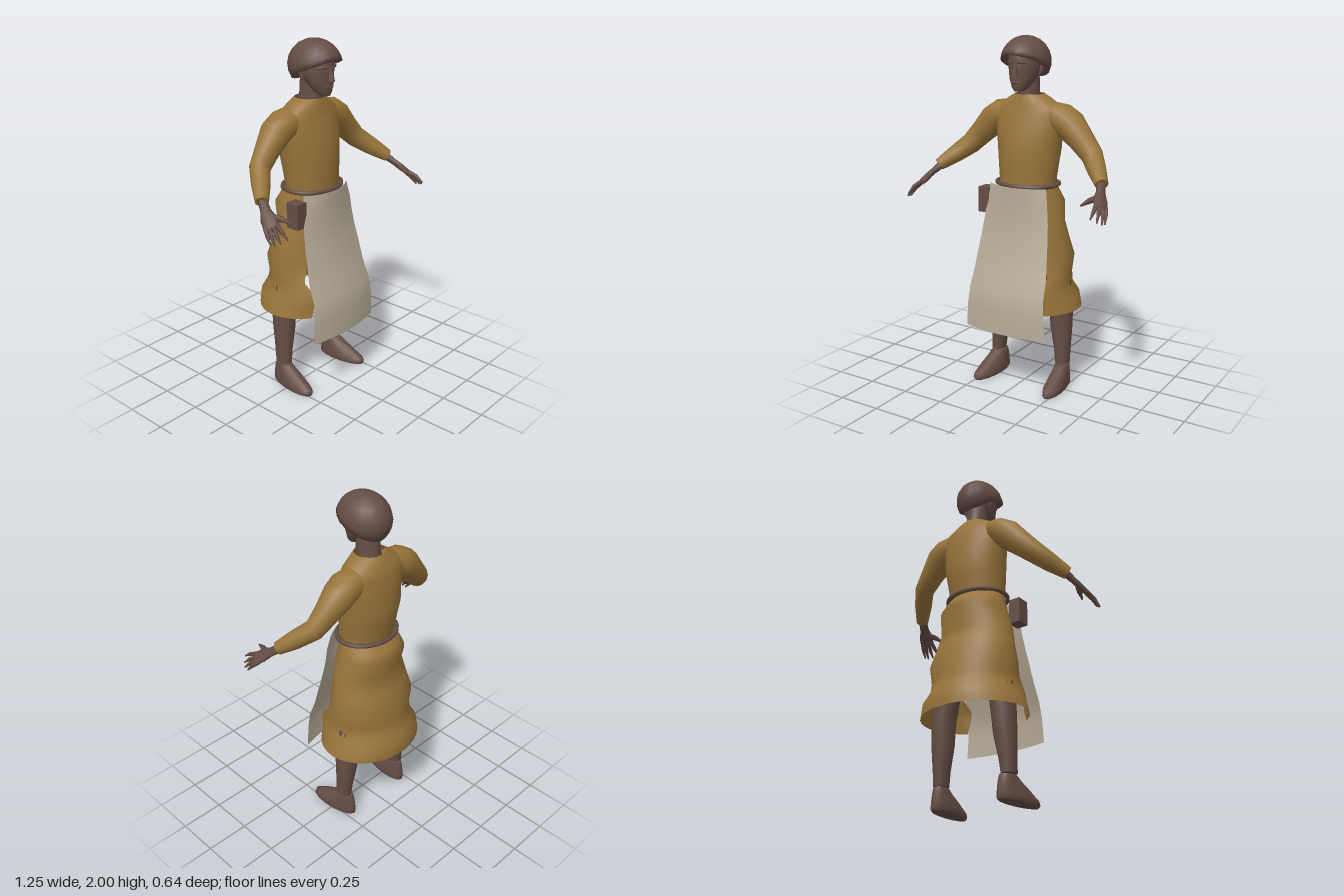
import * as THREE from 'three';

const V = (x, y, z) => new THREE.Vector3(x, y, z);

const mat = (name, color, side = THREE.FrontSide) => {
  const m = new THREE.MeshStandardMaterial({ color, side });
  m.name = name;
  return m;
};

// Skin a list of rings (arrays of points); closed rings wrap around, caps fan to the centre
function loft(rings, { closed = true, cap = false } = {}) {
  const n = rings[0].length, pos = [], idx = [];
  rings.forEach(r => r.forEach(p => pos.push(p.x, p.y, p.z)));
  for (let i = 0; i < rings.length - 1; i++)
    for (let j = 0; j < (closed ? n : n - 1); j++) {
      const k = (j + 1) % n, a = i * n + j, b = i * n + k;
      idx.push(a, b, b + n, a, b + n, a + n);
    }
  if (cap) for (const end of [0, rings.length - 1]) {
    const c = rings[end].reduce((s, p) => s.add(p), V(0, 0, 0)).divideScalar(n);
    const base = pos.length / 3;
    rings[end].forEach(p => pos.push(p.x, p.y, p.z));
    pos.push(c.x, c.y, c.z);
    for (let j = 0; j < n; j++) {
      const a = base + j, b = base + (j + 1) % n;
      end ? idx.push(a, b, base + n) : idx.push(b, a, base + n);
    }
  }
  const g = new THREE.BufferGeometry();
  g.setAttribute('position', new THREE.Float32BufferAttribute(pos, 3));
  g.setIndex(idx);
  g.computeVertexNormals();
  return g;
}

// Level ellipse given by half width and its front and back z; gap leaves it open at the front
function ring([y, rx, zf, zb], n = 20, gap = 0, cx = 0) {
  const c = (zf + zb) / 2, r = (zf - zb) / 2, out = [];
  for (let j = 0; j < n; j++) {
    const a = gap ? gap + (2 * Math.PI - 2 * gap) * j / (n - 1) : 2 * Math.PI * j / n;
    out.push(V(cx + rx * Math.sin(a), y, c + r * Math.cos(a)));
  }
  return out;
}

// Tapered limb through [x, y, z, radius along hint, radius across]; s mirrors it in x
function limb(pts, s = 1, n = 10, hint = V(0, 0, 1)) {
  const c = pts.map(p => V(p[0] * s, p[1], p[2]));
  const h = V(hint.x * s, hint.y, hint.z);
  return loft(pts.map((p, i) => {
    const d = c[Math.min(i + 1, c.length - 1)].clone().sub(c[Math.max(i - 1, 0)]).normalize();
    const v = h.clone().addScaledVector(d, -h.dot(d)).normalize();
    const u = d.clone().cross(v);
    return Array.from({ length: n }, (_, j) => {
      const a = 2 * Math.PI * j / n;
      return c[i].clone().addScaledVector(u, (p[4] ?? p[3]) * Math.sin(a)).addScaledVector(v, p[3] * Math.cos(a));
    });
  }), { cap: true });
}

export function createModel() {
  const model = new THREE.Group();
  const brown = mat('brown', 0x654d45);
  const cloth = mat('ochre cloth', 0x98743a, THREE.DoubleSide);
  const linen = mat('linen', 0xb7ab97, THREE.DoubleSide);
  const add = (name, geo, m, parent = model) => {
    const mesh = new THREE.Mesh(geo, m);
    mesh.name = name;
    parent.add(mesh);
    return mesh;
  };

  // Tunic: torso, and a skirt left open behind the apron
  add('tunicTorso', loft([
    [1.18, .165, .1, -.165], [1.3, .178, .1, -.185], [1.38, .188, .097, -.2],
    [1.48, .2, .085, -.19], [1.58, .215, .052, -.183], [1.62, .19, .045, -.168],
    [1.66, .13, .036, -.148], [1.685, .085, .03, -.13],
  ].map(r => ring(r, 24))), cloth);
  const skirt = [
    [.48, .31, .2, -.32, 40], [.55, .292, .2, -.322, 38], [.61, .262, .225, -.29, 44],
    [.68, .256, .16, -.262, 50], [.78, .262, .13, -.27, 42], [.88, .24, .12, -.232, 40],
    [.98, .222, .115, -.195, 30], [1.09, .198, .105, -.238, 20], [1.14, .182, .1, -.205, 15],
    [1.19, .166, .095, -.165, 12],
  ];
  add('tunicSkirt', loft(skirt.map(r => ring(r, 28, r[4] * Math.PI / 180)), { closed: false }), cloth);

  // Belt
  const loop = new THREE.CatmullRomCurve3(ring([1.19, .181, .115, -.182], 16), true);
  add('belt', new THREE.TubeGeometry(loop, 32, .013, 6, true), brown);

  // Apron: curved sheet, rows of [y, half width, centre z, sag of the edges]
  add('apron', loft([
    [.365, .258, .247, .036], [.5, .25, .245, .034], [.6, .242, .232, .034], [.7, .236, .192, .033],
    [.8, .226, .168, .032], [.9, .216, .145, .034], [1, .206, .13, .038], [1.1, .195, .128, .045],
    [1.185, .18, .128, .06],
  ].map(([y, w, z, sag]) => Array.from({ length: 9 }, (_, j) => {
    const t = j / 4 - 1;
    return V(t * w - .003, y, z - sag * t * t);
  })), { closed: false }), linen);

  // Pouch hanging from the belt on one side
  const pouch = add('pouch', new THREE.BoxGeometry(.07, .145, .08), brown);
  pouch.position.set(-.22, 1.085, .05);

  // Neck, face and features
  const head = new THREE.Group();
  head.name = 'head';
  model.add(head);
  add('neck', loft([[1.62, .075, .03, -.125], [1.69, .06, .03, -.11], [1.82, .06, .03, -.1]].map(r => ring(r, 14))), brown, head);
  add('face', loft([
    [1.705, .026, .088, .035], [1.725, .046, .096, -.01], [1.77, .07, .1, -.06],
    [1.82, .083, .1, -.1], [1.88, .086, .104, -.12], [1.94, .07, .08, -.11],
  ].map(r => ring(r, 18)), { cap: true }), brown, head);
  add('nose', limb([[0, 1.785, .104, .018, .02], [0, 1.8, .104, .016, .016], [0, 1.86, .097, .009, .01]], 1, 6), brown, head);
  add('lips', limb([[-.028, 1.752, .088, .006], [0, 1.754, .099, .007], [.028, 1.752, .088, .006]], 1, 6), brown, head);
  for (const s of [1, -1]) {
    add('brow', limb([[.015, 1.858, .101, .007], [.04, 1.862, .094, .008], [.066, 1.855, .068, .005]], s, 6), brown, head);
    add('ear', limb([[.084, 1.79, -.02, .012, .008], [.093, 1.82, -.025, .022, .012], [.09, 1.85, -.03, .016, .01]], s, 6), brown, head);
  }

  // Hair: rounded cap whose rim drops towards the nape
  const hair = [];
  for (let i = 0; i <= 8; i++) hair.push(Array.from({ length: 20 }, (_, j) => {
    const a = 2 * Math.PI * j / 20, rim = 1.835 + .065 * Math.cos(a);
    const low = Math.asin((rim - 1.86) / .14);
    const phi = low + (Math.PI / 2 - low) * Math.max(i - 1, 0) / 7;
    const f = Math.cos(phi) * (i ? 1 : .6);
    return V(.131 * f * Math.sin(a), 1.86 + .14 * Math.sin(phi) + (i ? 0 : .012), -.012 + .16 * f * Math.cos(a));
  }));
  add('hair', loft(hair, { cap: true }), brown, head);

  for (const s of [1, -1]) {
    const side = s > 0 ? 'left' : 'right';

    // Sleeve
    add(side + 'Sleeve', limb([
      [.13, 1.58, -.07, .08, .07], [.19, 1.56, -.07, .092, .085], [.245, 1.525, -.072, .088, .086],
      [.32, 1.45, -.062, .068, .072], [.395, 1.375, -.045, .055, .062], [.46, 1.315, .025, .05, .052],
      [.525, 1.257, .095, .036, .036],
    ], s, 12), cloth);

    // Hand with spread fingers and thumb
    const hand = new THREE.Group();
    hand.name = side + 'Hand';
    model.add(hand);
    const across = V(-.52, .3, .8);
    add('palm', limb([
      [.51, 1.265, .08, .025, .024], [.54, 1.222, .135, .028, .018], [.558, 1.195, .17, .042, .018],
      [.58, 1.16, .215, .042, .013],
    ], s, 8, across), brown, hand);
    [[.62, 1.09, .245], [.618, 1.093, .272], [.6, 1.105, .295], [.575, 1.125, .318]].forEach((tip, k) => {
      const o = (k - 1.5) * .021;
      const x = .577 + across.x * o, y = 1.165 + across.y * o, z = .208 + across.z * o;
      add('finger', limb([
        [x, y, z, .012], [(x + tip[0]) / 2 + .004, (y + tip[1]) / 2 + .005, (z + tip[2]) / 2, .011], [...tip, .004],
      ], s, 6, across), brown, hand);
    });
    add('thumb', limb([[.545, 1.205, .165, .018], [.52, 1.195, .225, .015], [.502, 1.18, .282, .005]], s, 6, across), brown, hand);

    // Leg
    add(side + 'Leg', limb([
      [.22, .14, -.06, .05, .04], [.216, .22, -.064, .054, .046], [.205, .36, -.07, .068, .062],
      [.2, .48, -.075, .074, .066], [.185, .62, -.07, .08, .074], [.115, 1.02, -.045, .09, .085],
    ], s, 12), brown);

    // Shoe, toes turned slightly outwards
    const shoe = loft([
      [0, .05, .165, -.135], [.012, .056, .173, -.142], [.035, .055, .165, -.14], [.07, .05, .1, -.135],
      [.105, .043, .03, -.128], [.13, .04, -.012, -.118],
    ].map(r => ring(r, 14, 0, s * .222)), { cap: true });
    const p = shoe.attributes.position;
    for (let i = 0; i < p.count; i++) p.setX(i, p.getX(i) + s * .09 * p.getZ(i));
    shoe.computeVertexNormals();
    add(side + 'Shoe', shoe, brown);
  }
  return model;
}
